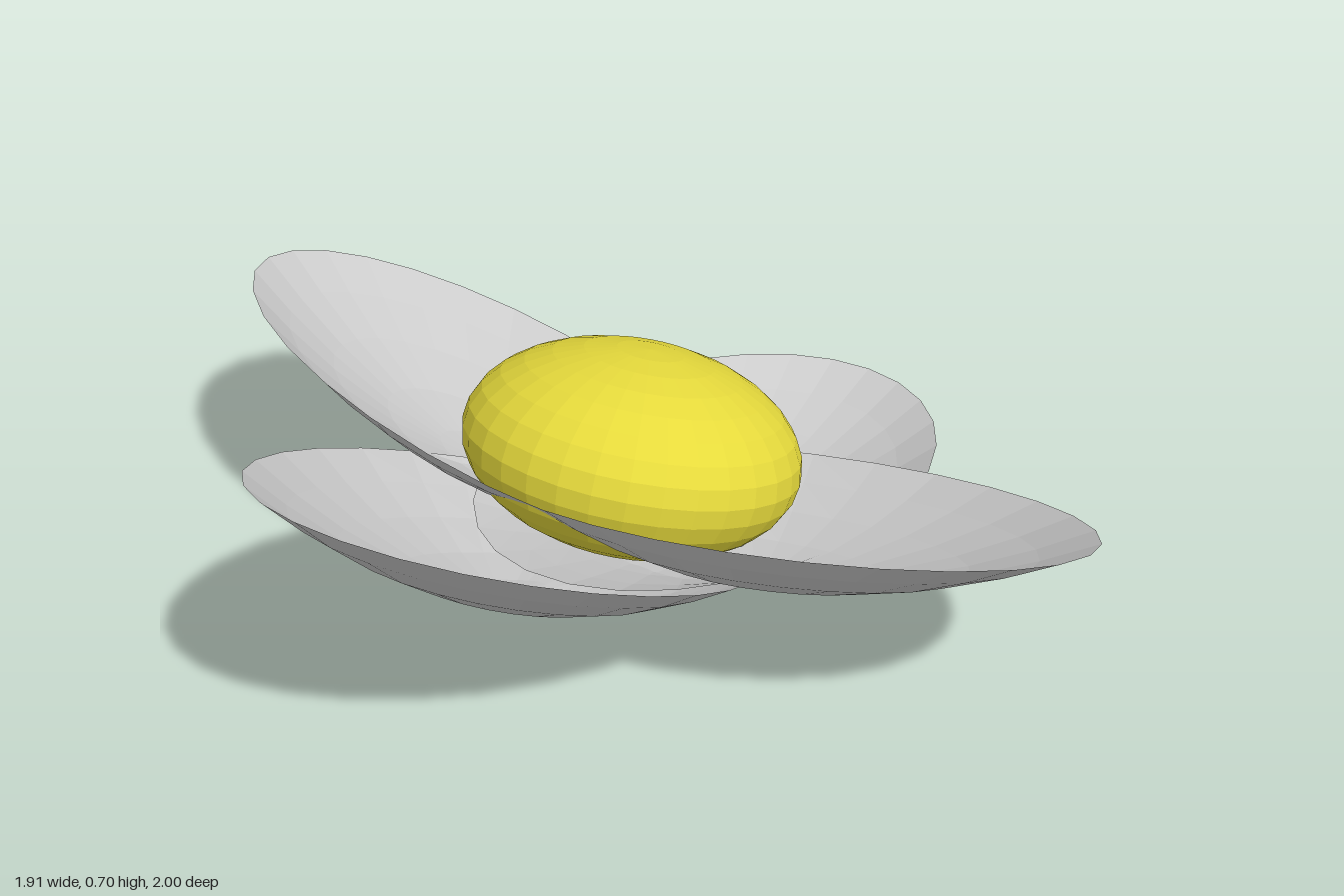
import * as THREE from 'three';

// One petal: a shallow elliptical bowl along +x, with its rim rising outwards
function petalGeometry() {
  const rings = [0.2, 0.42, 0.65, 0.84, 1], sides = 28;
  const point = (rho, angle) => {
    const c = Math.cos(angle);
    const power = 2 - 0.8 * Math.max(0, -c) ** 2; // straighter towards the flower's middle
    const r = 0.35 + 0.65 * rho * c;
    const rim = 0.383 - 0.19 * (1 - r);
    return [r, rim - 0.172 * (1 - rho ** power), 0.42 * rho * Math.sin(angle)];
  };
  const positions = [...point(0, 0)], index = [];
  const at = (ring, side) => 1 + ring * sides + (side % sides);
  rings.forEach((rho, i) => {
    for (let j = 0; j < sides; j++) {
      positions.push(...point(rho, (j / sides) * Math.PI * 2));
      if (i === 0) {
        index.push(0, at(0, j + 1), at(0, j));
      } else {
        const a = at(i - 1, j), b = at(i - 1, j + 1), c = at(i, j), d = at(i, j + 1);
        index.push(a, b, c, b, d, c);
      }
    }
  });
  const geometry = new THREE.BufferGeometry();
  geometry.setAttribute('position', new THREE.Float32BufferAttribute(positions, 3));
  geometry.setIndex(index);
  geometry.computeVertexNormals();
  return geometry;
}

export function createModel() {
  const model = new THREE.Group();
  model.name = 'flower';

  // Whole bloom leans towards +x
  const bloom = new THREE.Group();
  bloom.name = 'bloom';
  bloom.position.set(-0.115, 0.036, 0);
  bloom.rotation.z = -0.305;
  model.add(bloom);

  // Four petals, the front and back pair sitting above the side pair
  const petalMaterial = new THREE.MeshStandardMaterial({
    color: 0xcccccc, flatShading: true, side: THREE.DoubleSide,
  });
  const geometry = petalGeometry();
  ['leftPetal', 'backPetal', 'rightPetal', 'frontPetal'].forEach((name, i) => {
    const petal = new THREE.Mesh(geometry, petalMaterial);
    petal.name = name;
    petal.rotation.y = (i * Math.PI) / 2;
    petal.position.y = i % 2 ? 0.1 : 0;
    bloom.add(petal);
  });

  // Flattened yellow centre
  const centre = new THREE.Mesh(
    new THREE.SphereGeometry(0.355, 32, 16),
    new THREE.MeshStandardMaterial({ color: 0xe6da3c, flatShading: true }),
  );
  centre.name = 'flowerCentre';
  centre.scale.y = 0.59;
  centre.position.y = 0.35;
  bloom.add(centre);

  return model;
}
